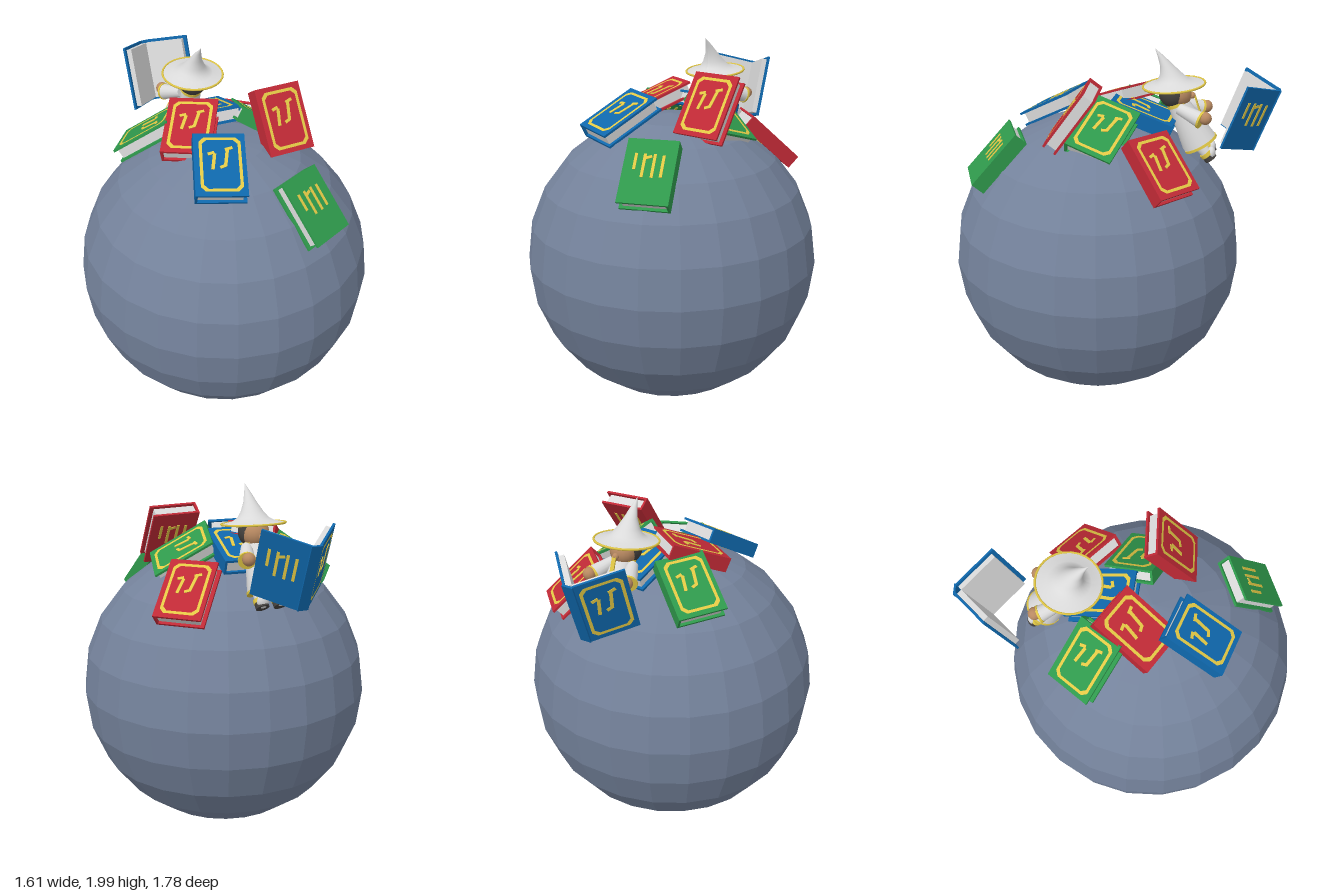
import * as THREE from 'three';

const mat = (name, color, extra = {}) => Object.assign(new THREE.MeshStandardMaterial({ color, ...extra }), { name });
const M = {
  stone: mat('slate blue', 0x74829b, { flatShading: true }),
  red: mat('red cover', 0xc02a36),
  green: mat('green cover', 0x2f994c),
  blue: mat('blue cover', 0x0f67ab),
  gold: mat('gold', 0xe2c845),
  white: mat('off white', 0xdadada),
  skin: mat('skin', 0xb98a62),
  dark: mat('dark grey', 0x45423f),
};
const V = (a) => new THREE.Vector3(...a);

function add(parent, name, geo, material, pos = [0, 0, 0]) {
  const m = new THREE.Mesh(geo, material);
  m.name = name;
  m.position.set(...pos);
  parent.add(m);
  return m;
}

// Orient an object so that local y follows up and local x follows right
function orient(obj, right, up) {
  const u = V(up).normalize();
  const n = V(right).cross(u).normalize();
  const r = u.clone().cross(n);
  obj.quaternion.setFromRotationMatrix(new THREE.Matrix4().makeBasis(r, u, n));
  return n;
}

// Cone frustum between two points, ra at a and rb at b
function limb(parent, name, a, b, ra, rb, material, sides = 16) {
  const d = V(b).sub(V(a));
  const m = add(parent, name, new THREE.CylinderGeometry(rb, ra, d.length(), sides), material);
  m.position.copy(V(a).addScaledVector(d, 0.5));
  m.quaternion.setFromUnitVectors(new THREE.Vector3(0, 1, 0), d.normalize());
  return m;
}

const W = 0.255, H = 0.355, T = 0.08, C = 0.012;

// Rectangle with cut corners
function cutRect(P, w, h, c) {
  const p = new P();
  p.moveTo(-w + c, -h);
  [[w - c, -h], [w, -h + c], [w, h - c], [w - c, h], [-w + c, h], [-w, h - c], [-w, -h + c]]
    .forEach(([x, y]) => p.lineTo(x, y));
  p.closePath();
  return p;
}

// Ornament strokes: x, y, width, height, turn
const frontStrokes = [
  [-0.035, 0.015, 0.017, 0.09, -0.15], [-0.046, 0.062, 0.035, 0.016, 0.3],
  [0.03, 0.04, 0.017, 0.1, -0.15], [0.043, 0.088, 0.04, 0.016, 0.3], [0.012, -0.012, 0.035, 0.016, 0.4],
];
const backStrokes = [
  [-0.07, 0.05, 0.015, 0.09, 0], [-0.025, 0.03, 0.015, 0.13, 0], [-0.008, 0.075, 0.04, 0.015, 0.35],
  [0.025, 0.03, 0.015, 0.13, 0], [0.07, 0.03, 0.015, 0.12, 0],
];

// One cover with its half of the pages; the hinge is at x = 0, outside faces +z
function coverPanel(color, isFront) {
  const g = new THREE.Group();
  g.name = isFront ? 'frontCover' : 'backCover';
  const s = isFront ? 1 : -1;
  add(g, 'cover', new THREE.BoxGeometry(W, H, C), M[color], [s * W / 2, 0, -C / 2]);
  add(g, 'pages', new THREE.BoxGeometry(W - 0.025, H - 0.03, T / 2 - C), M.white,
    [s * (W / 2 - 0.008), 0, -C - (T / 2 - C) / 2]);
  const art = new THREE.Group();
  art.name = 'coverOrnament';
  art.position.set(s * W / 2, 0, 0.0015);
  g.add(art);
  if (isFront) {
    const frame = cutRect(THREE.Shape, W / 2 - 0.022, H / 2 - 0.025, 0.025);
    frame.holes.push(cutRect(THREE.Path, W / 2 - 0.038, H / 2 - 0.041, 0.022));
    add(art, 'goldBorder', new THREE.ShapeGeometry(frame), M.gold);
  }
  for (const [x, y, w, h, a] of isFront ? frontStrokes : backStrokes) {
    add(art, 'goldStroke', new THREE.BoxGeometry(w, h, 0.003), M.gold, [x, y, 0]).rotation.z = a;
  }
  return g;
}

// Closed book; centre lies on the outer face that is turned outward
function closedBook(color, centre, right, up, backOut = false) {
  const outer = new THREE.Group();
  outer.name = color + 'Book';
  const n = orient(outer, right, up);
  outer.position.copy(V(centre)).addScaledVector(n, -T / 2);
  const book = new THREE.Group();
  if (backOut) book.rotation.y = Math.PI;
  outer.add(book);
  const front = coverPanel(color, true), back = coverPanel(color, false);
  front.position.set(-W / 2, 0, T / 2);
  back.position.set(-W / 2, 0, -T / 2);
  back.rotation.y = Math.PI;
  book.add(front, back);
  add(book, 'spine', new THREE.BoxGeometry(C, H, T), M[color], [-W / 2, 0, 0]);
  return outer;
}

function openBook() {
  const g = new THREE.Group();
  g.name = 'openBook';
  const up = [0, 0.94, -0.34];
  const front = coverPanel('blue', true), back = coverPanel('blue', false);
  orient(front, [-0.2, 0.07, 0.2], up);
  orient(back, [-0.2, -0.07, -0.2], up);
  front.position.set(-0.055, 1.61, -0.825);
  back.position.set(-0.005, 1.61, -0.825);
  const spine = add(g, 'spine', new THREE.BoxGeometry(0.06, H, C), M.blue, [-0.03, 1.611, -0.822]);
  orient(spine, [-1, 0, 0], up);
  g.add(front, back);
  return g;
}

function hat() {
  const g = new THREE.Group();
  g.name = 'pointedHat';
  g.position.set(0.02, 1.8, -0.325);
  g.rotation.x = 0.1;
  const profile = [[0.165, 0], [0.11, 0.012], [0.08, 0.03], [0.058, 0.06], [0.035, 0.105], [0.017, 0.155], [0, 0.2]];
  const geo = new THREE.LatheGeometry(profile.map(([r, y]) => new THREE.Vector2(r, y)), 28);
  // Bend the tip backwards
  const p = geo.attributes.position;
  for (let i = 0; i < p.count; i++) p.setZ(i, p.getZ(i) + 0.085 * (p.getY(i) / 0.2) ** 1.6);
  geo.computeVertexNormals();
  add(g, 'hatCone', geo, M.white);
  add(g, 'hatUnderside', new THREE.CircleGeometry(0.165, 28), M.dark, [0, -0.003, 0]).rotation.x = Math.PI / 2;
  add(g, 'hatRim', new THREE.TorusGeometry(0.165, 0.006, 6, 28), M.gold).rotation.x = Math.PI / 2;
  return g;
}

// Seated reader leaning back, facing -z
function reader() {
  const g = new THREE.Group();
  g.name = 'reader';
  const cx = 0.02;
  g.add(hat());
  add(g, 'head', new THREE.SphereGeometry(0.072, 18, 12), M.skin, [cx, 1.752, -0.35]);
  add(g, 'hair', new THREE.SphereGeometry(0.08, 18, 12), M.dark, [cx, 1.757, -0.325]);
  add(g, 'nose', new THREE.SphereGeometry(0.018, 10, 8), M.skin, [cx, 1.745, -0.425]);
  limb(g, 'robe', [cx, 1.48, -0.475], [cx, 1.71, -0.345], 0.098, 0.055, M.white, 20);
  limb(g, 'robeHem', [cx, 1.475, -0.478], [cx, 1.487, -0.471], 0.101, 0.1, M.gold, 20);
  limb(g, 'collar', [cx, 1.695, -0.353], [cx, 1.712, -0.344], 0.062, 0.06, M.gold, 20);
  const stripe = add(g, 'robeStripe', new THREE.BoxGeometry(0.022, 0.25, 0.008), M.gold, [cx, 1.63, -0.478]);
  stripe.rotation.x = 0.34;
  for (const s of [-1, 1]) {
    const x = (d) => cx + s * d;
    limb(g, 'sleeve', [x(0.055), 1.685, -0.36], [x(0.108), 1.645, -0.475], 0.03, 0.043, M.white);
    limb(g, 'cuff', [x(0.106), 1.647, -0.47], [x(0.11), 1.644, -0.48], 0.046, 0.046, M.gold);
    add(g, 'hand', new THREE.SphereGeometry(0.034, 12, 10), M.skin, [x(0.11), 1.655, -0.5]);
    limb(g, 'leg', [x(0.045), 1.5, -0.46], [x(0.05), 1.44, -0.515], 0.03, 0.03, M.white);
    limb(g, 'bootBand', [x(0.05), 1.448, -0.508], [x(0.05), 1.432, -0.522], 0.038, 0.038, M.gold);
    limb(g, 'boot', [x(0.05), 1.435, -0.52], [x(0.05), 1.41, -0.54], 0.035, 0.035, M.dark);
    const toe = add(g, 'bootToe', new THREE.SphereGeometry(0.033, 12, 8), M.white, [x(0.05), 1.445, -0.54]);
    toe.scale.set(1, 1.1, 0.7);
  }
  return g;
}

export function createModel() {
  const model = new THREE.Group();
  model.name = 'readerOnBoulder';
  // Faceted ball, turned half a segment
  const ball = add(model, 'boulder', new THREE.SphereGeometry(0.811, 24, 12), M.stone, [0, 0.811, 0.09]);
  ball.rotation.y = Math.PI / 24;
  // Scattered books: colour, centre of outer face, right, up, back cover outward
  const books = [
    ['red', [0.295, 1.715, 0.205], [0.99, -0.06, 0.03], [0.02, 0.81, -0.59]],
    ['red', [0.39, 1.49, -0.31], [-0.7, 0.02, -0.65], [-0.19, 0.25, 0.195]],
    ['red', [-0.165, 1.705, 0.02], [0.18, 0.005, 0.143], [0.2, 0.14, -0.29]],
    ['blue', [-0.16, 1.655, 0.355], [0.229, -0.015, 0.096], [0.138, 0.18, -0.315]],
    ['green', [-0.31, 1.6, -0.24], [-0.14, 0.04, 0.22], [0.22, 0.18, 0.15]],
    ['green', [0.29, 1.635, 0.015], [0.07, -0.08, -0.225], [-0.29, 0.185, -0.13]],
    ['blue', [0.03, 1.675, -0.18], [-0.99, 0, -0.1], [-0.1, 0.32, 0.94]],
    ['green', [0.23, 1.455, 0.635], [0.245, 0.025, -0.12], [-0.09, 0.28, -0.245], true],
  ];
  for (const b of books) model.add(closedBook(...b));
  model.add(openBook(), reader());
  return model;
}
